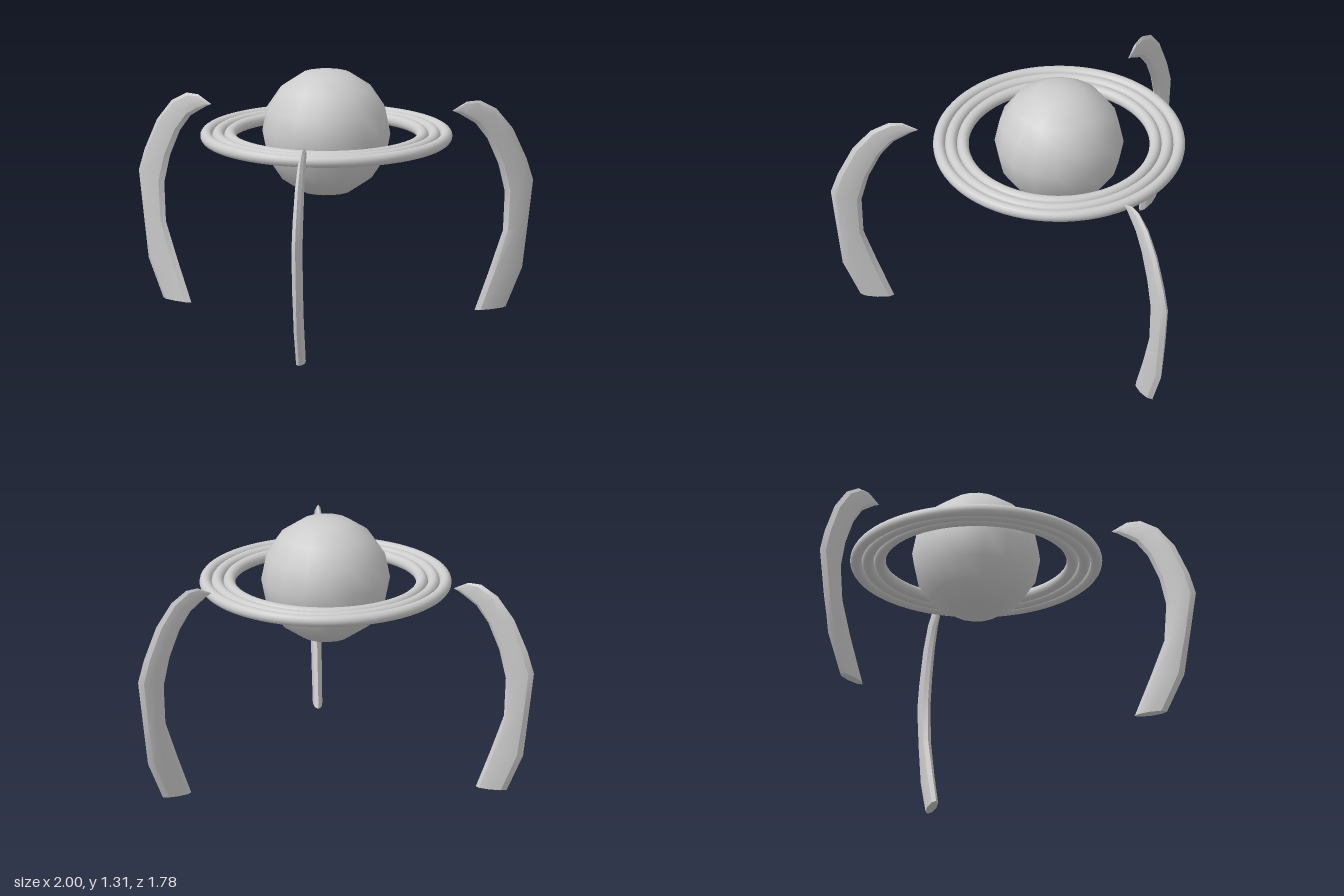
import * as THREE from 'three';
import { toCreasedNormals } from 'three/addons/utils/BufferGeometryUtils.js';

const material = new THREE.MeshStandardMaterial({ color: 0xcccccc });

// Leg cross-sections from foot to tip: outer [r, y], inner [r, y], half thickness.
// r is measured outwards from the tip.
const sections = [
  [0.29, 0.005, 0.12, 0, 0.024],
  [0.38, 0.2, 0.2, 0.2, 0.026],
  [0.41, 0.42, 0.275, 0.4, 0.028],
  [0.44, 0.645, 0.285, 0.6, 0.028],
  [0.405, 0.757, 0.25, 0.745, 0.027],
  [0.33, 0.92, 0.19, 0.88, 0.024],
  [0.24, 1.03, 0.125, 0.965, 0.02],
  [0.15, 1.08, 0.07, 1.0, 0.015],
  [0.08, 1.08, 0.03, 1.025, 0.009],
  [0, 1.04, 0, 1.038, 0.001],
];

function legGeometry() {
  const sides = 8;
  const positions = [];
  const index = [];
  for (const [ro, yo, ri, yi, half] of sections) {
    for (let j = 0; j < sides; j++) {
      const a = (j / sides) * Math.PI * 2;
      const t = (1 + Math.cos(a)) / 2; // 0 at the inner edge, 1 at the outer edge
      positions.push(half * Math.sin(a), yi + (yo - yi) * t, ri + (ro - ri) * t);
    }
  }
  for (let i = 0; i < sections.length - 1; i++) {
    for (let j = 0; j < sides; j++) {
      const k = (j + 1) % sides;
      const a = i * sides + j, b = i * sides + k;
      index.push(a, b, b + sides, a, b + sides, a + sides);
    }
  }
  // Foot and tip caps
  const last = (sections.length - 1) * sides;
  for (let j = 1; j < sides - 1; j++) {
    index.push(0, j + 1, j, last, last + j, last + j + 1);
  }
  const geometry = new THREE.BufferGeometry();
  geometry.setAttribute('position', new THREE.Float32BufferAttribute(positions, 3));
  geometry.setIndex(index);
  return toCreasedNormals(geometry, 0.45);
}

export function createModel() {
  const model = new THREE.Group();
  model.name = 'ringedPlanetStand';

  function add(name, geometry, x, y, z, parent = model) {
    const mesh = new THREE.Mesh(geometry, material);
    mesh.name = name;
    mesh.position.set(x, y, z);
    parent.add(mesh);
    return mesh;
  }

  // Planet
  add('planet', new THREE.SphereGeometry(0.325, 16, 8), 0.02, 0.99, -0.26);

  // Three touching rings lying flat around the planet
  const rings = new THREE.Group();
  rings.name = 'rings';
  model.add(rings);
  [0.485, 0.545, 0.605].forEach((radius, i) => {
    const torus = new THREE.TorusGeometry(radius, 0.03, 16, 72).rotateX(Math.PI / 2);
    add(`ring${i + 1}`, torus, 0.02, 0.97, -0.26, rings);
  });

  // Curved legs, each placed by its tip and turned outwards
  const leg = legGeometry();
  for (const [name, x, z, degrees] of [
    ['frontLeg', 0.008, 0.45, 0],
    ['leftLeg', 0.617, -0.6, 120],
    ['rightLeg', -0.608, -0.597, -117],
  ]) {
    add(name, leg, x, 0, z).rotation.y = THREE.MathUtils.degToRad(degrees);
  }

  return model;
}
